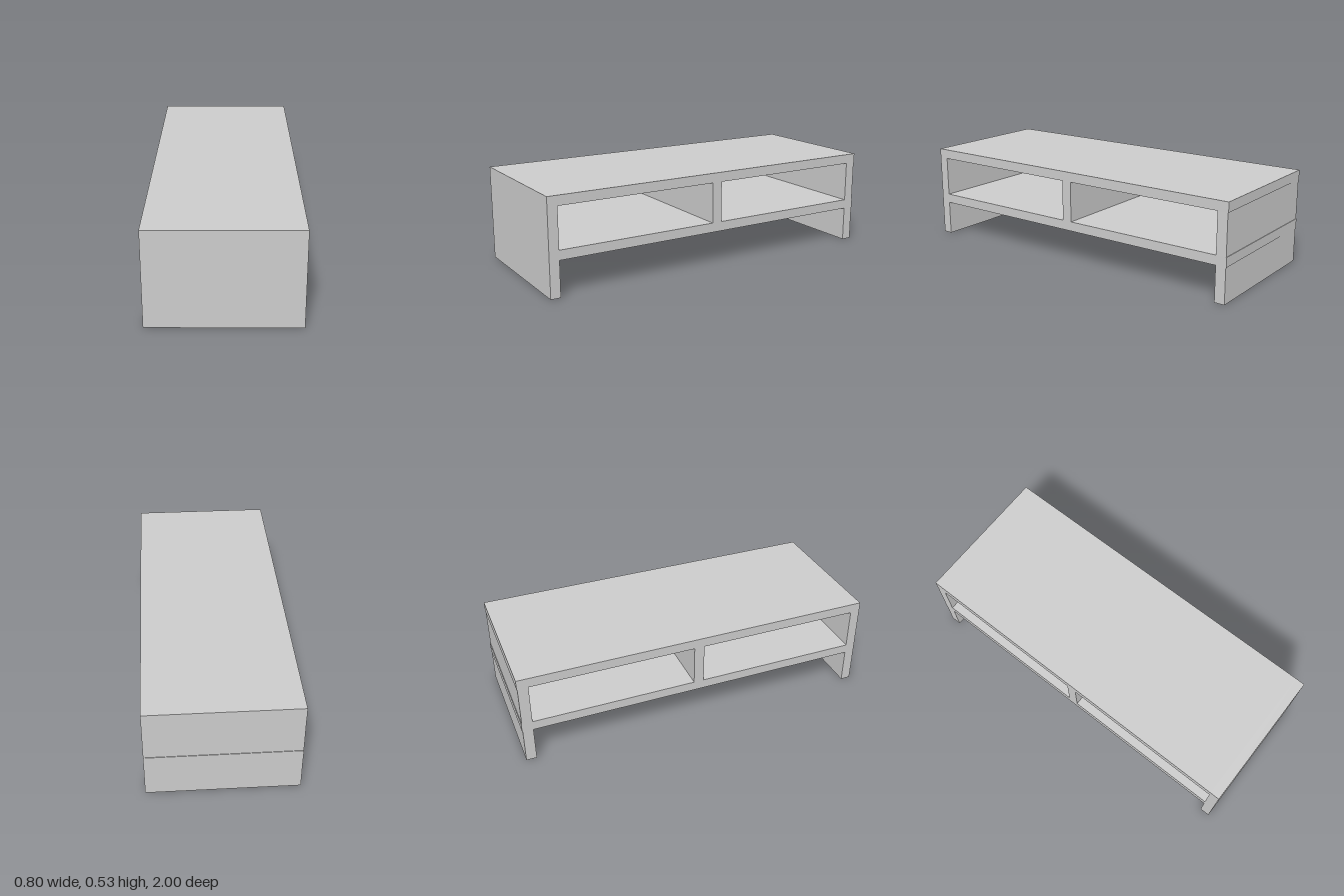
import * as THREE from 'three';

const WIDTH = 0.8;

export function createModel() {
  const group = new THREE.Group();
  const material = new THREE.MeshStandardMaterial({ color: 0xcccccc, flatShading: true });

  // Full-width panel given by its height and depth limits
  function panel(name, y0, y1, z0, z1) {
    const mesh = new THREE.Mesh(new THREE.BoxGeometry(WIDTH, y1 - y0, z1 - z0), material);
    mesh.name = name;
    mesh.position.set(0, (y0 + y1) / 2, (z0 + z1) / 2);
    group.add(mesh);
  }

  // Front end runs the full height
  panel('frontEndPanel', 0, 0.53, 0.945, 1);

  // Boards butt against the front end and reach past the back panels
  panel('topBoard', 0.476, 0.53, -1, 0.945);
  panel('shelf', 0.197, 0.25, -1, 0.945);

  // Back end is split by the shelf and set in very slightly
  panel('backUpperPanel', 0.25, 0.476, -0.997, -0.94);
  panel('backLeg', 0, 0.197, -0.997, -0.94);

  // Upright between the two compartments
  panel('divider', 0.25, 0.476, -0.027, 0.03);

  return group;
}
